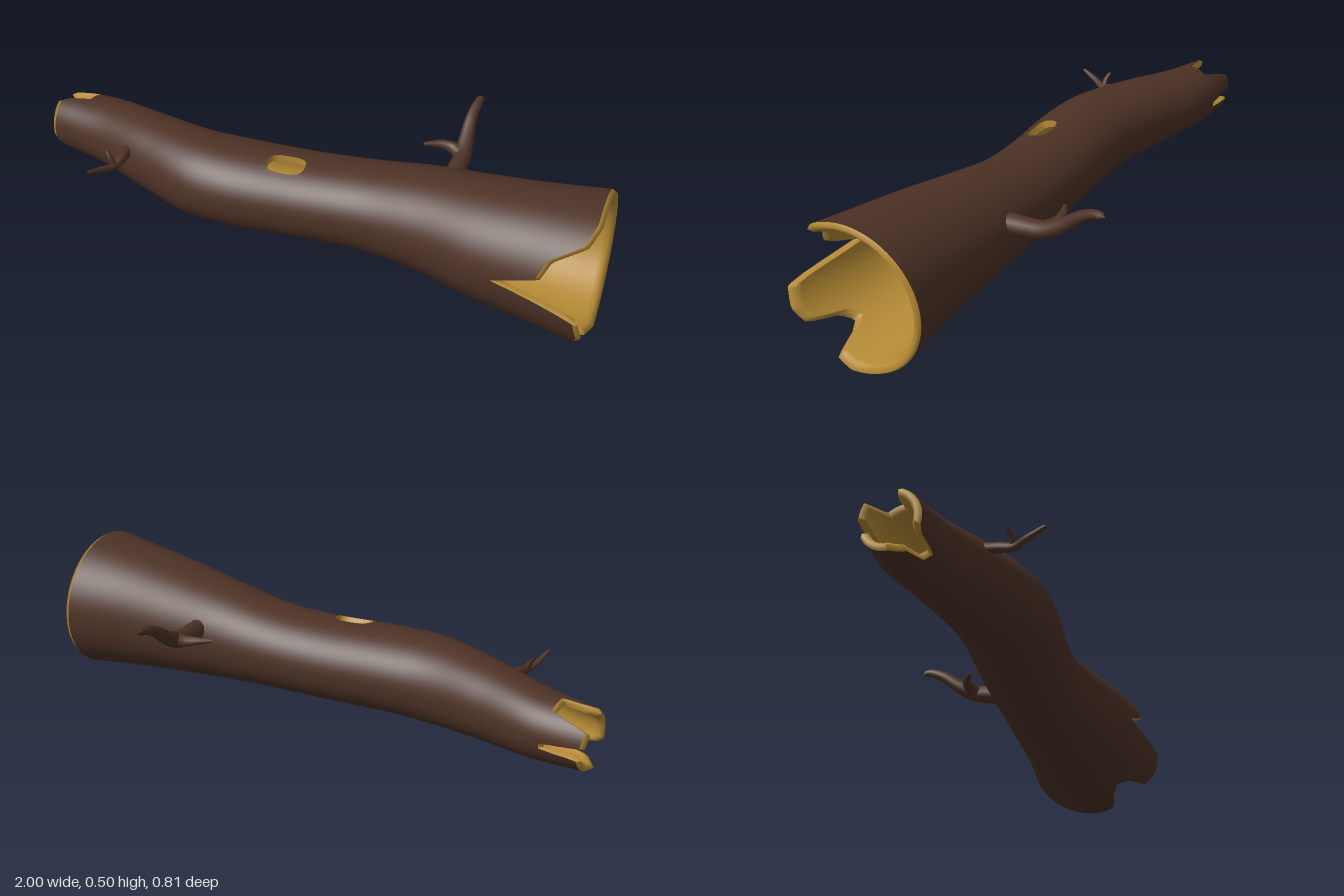
import * as THREE from 'three';

const bark = new THREE.MeshStandardMaterial({ color: 0x4d3226 });
const wood = new THREE.MeshStandardMaterial({ color: 0xb58a35 });

const ROWS = 100, SIDES = 120, WALL = 0.025, LIP = 0.015;

const table = (rows, Type) => new Type(
  rows.map(r => r[0]), rows.flatMap(r => r.slice(1)), rows[0].length - 1);

// Trunk extents along x: back z, front z, bottom y, top y
const trunk = table([
  [-1, -0.16, 0.03, 0.14, 0.34],
  [-0.8, -0.155, 0.085, 0.13, 0.36],
  [-0.6, -0.105, 0.17, 0.115, 0.38],
  [-0.4, -0.065, 0.245, 0.1, 0.39],
  [-0.25, -0.063, 0.26, 0.1, 0.39],
  [0, -0.075, 0.245, 0.1, 0.385],
  [0.2, -0.085, 0.24, 0.1, 0.395],
  [0.4, -0.09, 0.27, 0.085, 0.425],
  [0.6, -0.09, 0.325, 0.057, 0.45],
  [0.8, -0.092, 0.365, 0.03, 0.475],
  [1, -0.11, 0.412, 0, 0.5],
], THREE.CubicInterpolant);

// Splintered ends: angle round the trunk (0 = front, PI/2 = top), then x of the edge
const narrowEnd = table([
  [-1.58, -1], [-1.15, -0.97], [-1, -0.9], [-0.7, -0.89], [-0.5, -0.98], [-0.3, -1],
  [1.2, -1], [1.4, -0.97], [1.55, -0.89], [2.15, -0.88], [2.35, -0.95], [2.5, -1],
  [3.05, -0.99], [3.18, -0.86], [3.36, -0.86], [3.48, -0.98], [4.72, -1],
], THREE.LinearInterpolant);
const wideEnd = table([
  [-1.58, 1], [-1.3, 0.98], [-1.15, 0.88], [-1.03, 0.84], [-0.85, 0.87], [-0.7, 0.97],
  [-0.45, 0.99], [-0.14, 0.975], [-0.05, 0.85], [0.05, 0.7], [0.3, 0.84], [0.6, 0.87],
  [0.9, 0.97], [1.2, 0.995], [4.72, 1],
], THREE.LinearInterpolant);

// Knot hole, a rounded oblong in (x, angle)
const hole = { x: -0.065, a: 1.32, rx: 0.065, ra: 0.25 };
const holeDistance = (x, a) =>
  (Math.abs((x - hole.x) / hole.rx) ** 3 + Math.abs((a - hole.a) / hole.ra) ** 3) ** (1 / 3);

function gridPoint(t, j) {
  const a = -Math.PI / 2 + ((j + SIDES) % SIDES) / SIDES * Math.PI * 2;
  const x0 = narrowEnd.evaluate(a)[0] + LIP, x1 = wideEnd.evaluate(a)[0] - LIP;
  return [x0 + (x1 - x0) * t, a];
}
const inHole = (t, j) => holeDistance(...gridPoint(t, j)) < 1;
const cellOpen = (i, j) => [[0, 0], [1, 0], [1, 1], [0, 1]]
  .some(([di, dj]) => inHole((i + di) / ROWS, j + dj));

// A point on the trunk wall: depth 0 = bark, 1 = inner face
function wallPoint(t, j, depth, dx = 0) {
  let [x, a] = gridPoint(t, j);
  const d = holeDistance(x, a);
  if (d >= 1 && d < 2 && t > 0 && t < 1) {
    // Grid points bordering the hole are pulled onto its outline
    let border = false;
    for (const di of [-1, 0, 1]) for (const dj of [-1, 0, 1])
      if (inHole(t + di / ROWS, j + dj)) border = true;
    if (border) {
      x = hole.x + (x - hole.x) / d;
      a = hole.a + (a - hole.a) / d;
    }
  }
  x += dx;
  const [zb, zf, yb, yt] = trunk.evaluate(x);
  const inset = depth * WALL;
  return [x,
    (yb + yt) / 2 + ((yt - yb) / 2 - inset) * Math.sin(a),
    (zb + zf) / 2 + ((zf - zb) / 2 - inset) * Math.cos(a)];
}

function makeGeometry(points, index) {
  const g = new THREE.BufferGeometry();
  g.setAttribute('position', new THREE.Float32BufferAttribute(points.flat(), 3));
  g.setIndex(index);
  g.computeVertexNormals();
  return g;
}

// Closed tube of rows, leaving the hole open; inward flips the faces
function wallGeometry(rows, firstRow, inward) {
  const points = [], index = [];
  for (const [t, depth, dx] of rows)
    for (let j = 0; j < SIDES; j++) points.push(wallPoint(t, j, depth, dx));
  for (let r = 0; r < rows.length - 1; r++) for (let j = 0; j < SIDES; j++) {
    const i = r - firstRow;
    if (i >= 0 && i < ROWS && cellOpen(i, j)) continue;
    const k = (j + 1) % SIDES;
    const a = r * SIDES + j, b = a + SIDES, c = (r + 1) * SIDES + k, d = r * SIDES + k;
    index.push(...(inward ? [a, c, b, a, d, c] : [a, b, c, a, c, d]));
  }
  return makeGeometry(points, index);
}

// Strip through the wall thickness round the knot hole
function holeRimGeometry() {
  const points = [], index = [];
  const corners = [[0, 0], [1, 0], [1, 1], [0, 1]];
  const neighbours = [[0, -1], [1, 0], [0, 1], [-1, 0]];
  for (let i = 1; i < ROWS - 1; i++) for (let j = 0; j < SIDES; j++) {
    if (!cellOpen(i, j)) continue;
    neighbours.forEach(([ni, nj], e) => {
      if (cellOpen(i + ni, j + nj)) return;
      const [p, q] = [corners[e], corners[(e + 1) % 4]]
        .map(([di, dj]) => [(i + di) / ROWS, j + dj]);
      const n = points.length;
      points.push(wallPoint(...p, 0), wallPoint(...q, 0), wallPoint(...q, 1), wallPoint(...p, 1));
      index.push(n, n + 1, n + 2, n, n + 2, n + 3);
    });
  }
  return makeGeometry(points, index);
}

// Tapered twig along a smooth path
function twigGeometry(path, r0, r1) {
  const curve = new THREE.CatmullRomCurve3(path.map(p => new THREE.Vector3(...p)));
  const seg = 24, sides = 10;
  const g = new THREE.TubeGeometry(curve, seg, r0, sides);
  const pos = g.attributes.position, v = new THREE.Vector3();
  for (let n = 0; n < pos.count; n++) {
    const i = Math.floor(n / (sides + 1)), c = curve.getPointAt(i / seg);
    const s = i === seg ? 0 : 1 + (r1 / r0 - 1) * (i / seg) ** 1.3;
    v.fromBufferAttribute(pos, n).sub(c).multiplyScalar(s).add(c);
    pos.setXYZ(n, v.x, v.y, v.z);
  }
  return g;
}

export function createModel() {
  const model = new THREE.Group();
  model.name = 'hollowLog';
  const add = (name, geometry, material, parent = model) => {
    const mesh = new THREE.Mesh(geometry, material);
    mesh.name = name;
    parent.add(mesh);
  };

  // Bark, and the pale inside with rounded lips at both broken ends
  const along = depth => Array.from({ length: ROWS + 1 }, (_, i) => [i / ROWS, depth, 0]);
  add('bark', wallGeometry(along(0), 0, false), bark);
  add('innerWood', wallGeometry([
    [0, 0, 0], [0, 0.4, -LIP], ...along(1), [1, 0.4, LIP], [1, 0, 0],
  ], 2, true), wood);
  add('knotHoleRim', holeRimGeometry(), wood);

  // Back twig with its side shoot
  const backTwig = new THREE.Group();
  backTwig.name = 'backTwig';
  add('backTwigStem', twigGeometry([
    [0.45, 0.31, -0.06], [0.45, 0.315, -0.14], [0.45, 0.325, -0.2], [0.445, 0.36, -0.265],
    [0.445, 0.405, -0.325], [0.452, 0.43, -0.38], [0.458, 0.43, -0.412]], 0.036, 0.013), bark, backTwig);
  add('backTwigShoot', twigGeometry([
    [0.45, 0.325, -0.19], [0.41, 0.335, -0.215], [0.37, 0.342, -0.213], [0.312, 0.345, -0.188],
  ], 0.025, 0.006), bark, backTwig);

  // Front twig with its side shoot
  const frontTwig = new THREE.Group();
  frontTwig.name = 'frontTwig';
  add('frontTwigStem', twigGeometry([
    [-0.65, 0.3, 0.1], [-0.65, 0.297, 0.17], [-0.66, 0.288, 0.22], [-0.682, 0.3, 0.265],
    [-0.7, 0.325, 0.33]], 0.02, 0.006), bark, frontTwig);
  add('frontTwigShoot', twigGeometry([
    [-0.658, 0.29, 0.215], [-0.672, 0.315, 0.215], [-0.69, 0.34, 0.205]], 0.012, 0.005), bark, frontTwig);

  model.add(backTwig, frontTwig);
  return model;
}
